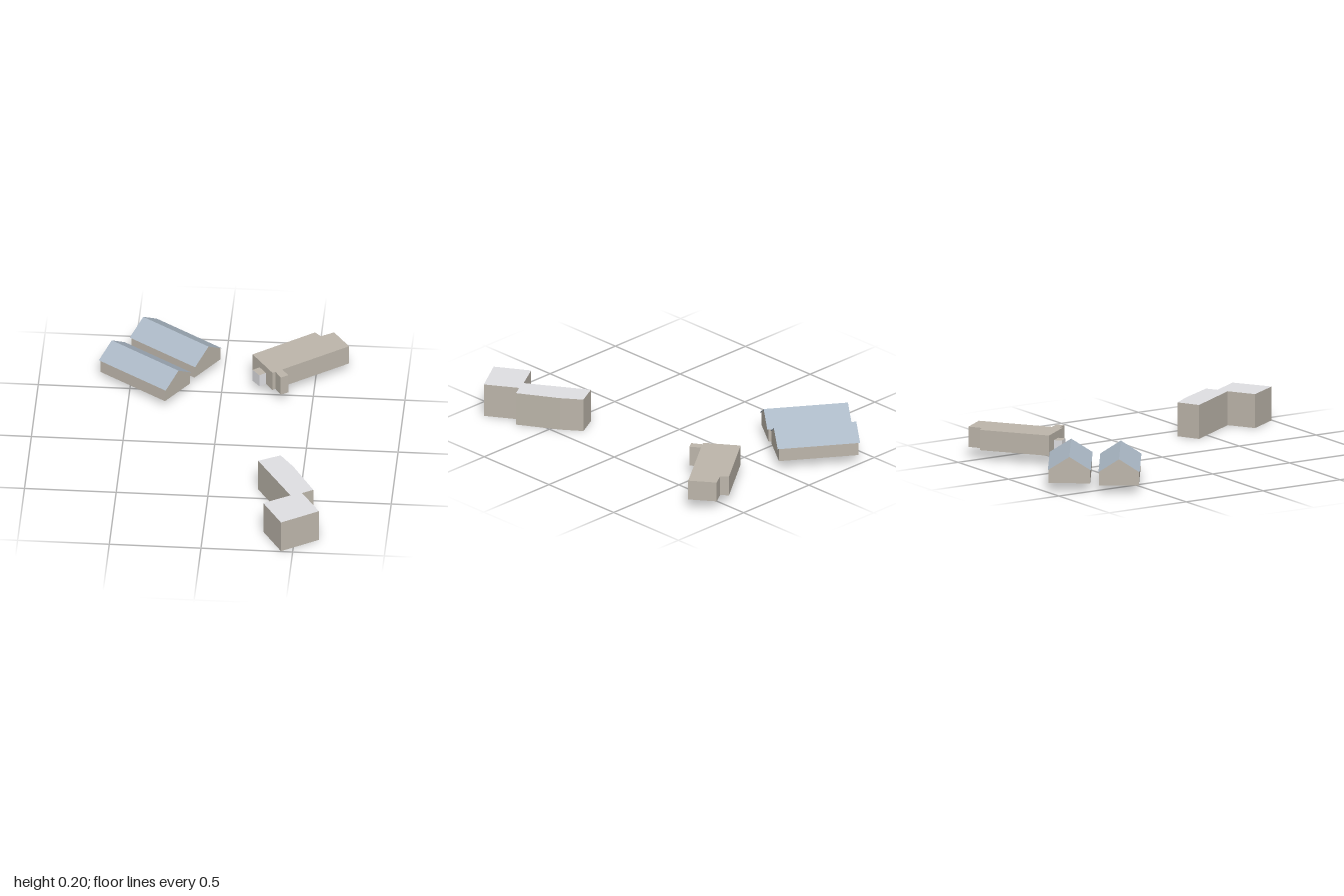
import * as THREE from 'three';

const mat = (name, color) =>
  new THREE.MeshStandardMaterial({ name, color, side: THREE.DoubleSide });

// Flat-shaded strip of quads between two matching rows of points
function ribbon(lower, upper) {
  const pos = [];
  for (let i = 0; i < lower.length - 1; i++) {
    const [a, b, c, d] = [lower[i], lower[i + 1], upper[i + 1], upper[i]];
    pos.push(...a, ...b, ...c, ...a, ...c, ...d);
  }
  const g = new THREE.BufferGeometry();
  g.setAttribute('position', new THREE.Float32BufferAttribute(pos, 3));
  g.computeVertexNormals();
  return g;
}

function add(group, name, geometry, material) {
  const mesh = new THREE.Mesh(geometry, material);
  mesh.name = name;
  group.add(mesh);
  return mesh;
}

// Flat-roofed building, open below, from a footprint of [x, z] corners
function flatBuilding(name, outline, y0, y1, wallMat, roofMat) {
  const g = new THREE.Group();
  g.name = name;
  const ring = [...outline, outline[0]].reverse();
  const row = y => ring.map(([x, z]) => [x, y, z]);
  add(g, name + 'Walls', ribbon(row(y0), row(y1)), wallMat);
  const shape = new THREE.Shape(outline.map(([x, z]) => new THREE.Vector2(x, -z)));
  const roof = new THREE.ShapeGeometry(shape).rotateX(-Math.PI / 2).translate(0, y1, 0);
  add(g, name + 'Roof', roof, roofMat);
  return g;
}

// Gabled barn, open below, with a thin overhanging roof
function barn(name, x, z, length, width, base, eave, ridge, wallMat, roofMat) {
  const g = new THREE.Group();
  g.name = name;
  const L = length / 2, W = width / 2;
  const l = L - 0.008, w = W - 0.004;
  const top = eave + (ridge - eave) * (0.004 / W) - 0.001;

  const profile = [[eave, -W], [ridge, 0], [eave, W]];
  const roofRow = px => profile.map(([y, pz]) => [px, y, pz]);
  add(g, name + 'Roof', ribbon(roofRow(-L), roofRow(L)), roofMat);

  for (const s of [1, -1]) {
    add(g, name + 'SideWall',
      ribbon([[-s * l, base, s * w], [s * l, base, s * w]],
        [[-s * l, top, s * w], [s * l, top, s * w]]), wallMat);
    const gable = new THREE.Shape([[-w, base], [w, base], [w, top], [0, ridge - 0.001], [-w, top]]
      .map(p => new THREE.Vector2(...p)));
    add(g, name + 'GableWall',
      new THREE.ShapeGeometry(gable).rotateY(s * Math.PI / 2).translate(s * l, 0, 0), wallMat);
  }
  g.position.set(x, 0, z);
  g.rotation.y = -0.602;
  return g;
}

export function createModel() {
  const model = new THREE.Group();
  model.name = 'farmBuildings';
  const beige = mat('beigeWall', 0xbdb6ab);
  const blue = mat('blueGreyRoof', 0xabb8c5);
  const grey = mat('lightGrey', 0xe0e0e3);

  // Twin barns
  model.add(barn('rearBarn', -0.27, -0.775, 0.456, 0.234, 0.05, 0.124, 0.198, beige, blue));
  model.add(barn('frontBarn', -0.421, -0.551, 0.466, 0.224, 0.04, 0.115, 0.187, beige, blue));

  // Long house with rear wing and porch
  model.add(flatBuilding('longHouse', [
    [0.159, -0.633], [0.482, -0.869], [0.516, -0.834], [0.585, -0.877], [0.677, -0.75],
    [0.331, -0.5], [0.368, -0.448], [0.328, -0.422], [0.296, -0.475], [0.28, -0.464],
  ], 0.055, 0.168, beige, beige));

  // Low shed on the end wall of the long house
  model.add(flatBuilding('endShed', [
    [0.166, -0.544], [0.202, -0.572], [0.24, -0.52], [0.206, -0.495],
  ], 0.055, 0.127, grey, beige));

  // Tall house with a bent wing
  model.add(flatBuilding('tallHouse', [
    [0.268, 0.414], [0.386, 0.353], [0.464, 0.457], [0.588, 0.67], [0.529, 0.705],
    [0.634, 0.872], [0.436, 0.996], [0.326, 0.817], [0.468, 0.732],
  ], 0, 0.189, beige, grey));

  return model;
}
